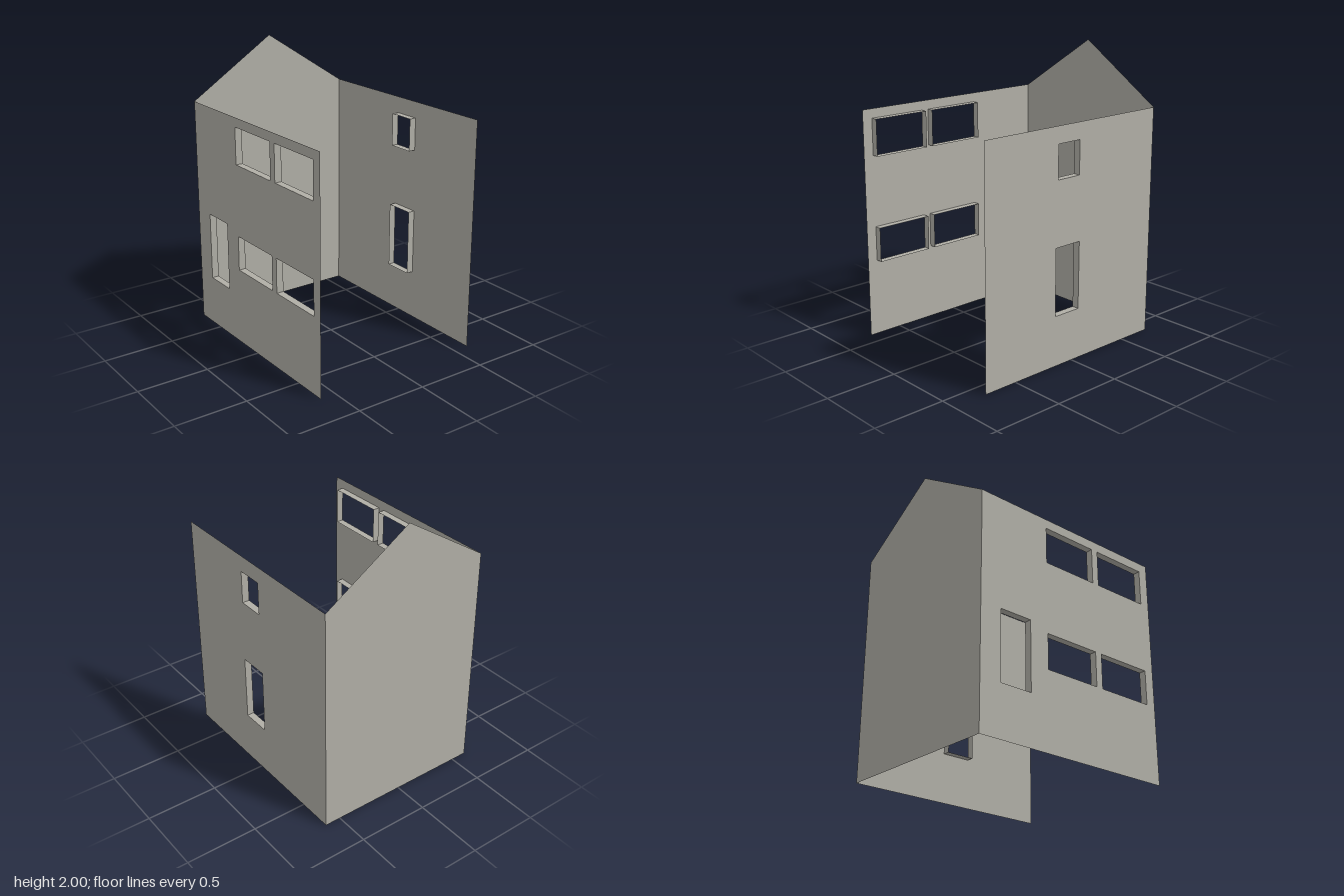
import * as THREE from 'three';

const HALF_W = 0.75, HALF_D = 0.613, EAVES = 1.605, RIDGE = 2, REVEAL = 0.05;

// Openings as [x0, x1, y0, y1]
const FRONT = [
  ['frontDoor', -0.592, -0.355, 0.35, 0.83],
  ['lowerMiddleWindow', -0.21, 0.207, 0.54, 0.783],
  ['lowerLeftWindow', 0.26, 0.677, 0.54, 0.783],
  ['upperMiddleWindow', -0.21, 0.207, 1.285, 1.54],
  ['upperLeftWindow', 0.26, 0.677, 1.285, 1.54],
];
const BACK = [
  ['backDoor', -0.057, 0.153, 0.35, 0.815],
  ['backWindow', -0.046, 0.142, 1.26, 1.49],
];

export function createModel() {
  const group = new THREE.Group();
  const plaster = new THREE.MeshStandardMaterial({ color: 0xb0aea6, side: THREE.DoubleSide });

  const add = (parent, name, geometry) => {
    const mesh = new THREE.Mesh(geometry, plaster);
    mesh.name = name;
    parent.add(mesh);
    return mesh;
  };

  // Four-sided open sleeve lining an opening
  const sleeve = (w, h) => {
    const g = new THREE.CylinderGeometry(Math.SQRT1_2, Math.SQRT1_2, 1, 4, 1, true, Math.PI / 4);
    g.rotateX(Math.PI / 2).scale(w, h, REVEAL);
    const flat = g.toNonIndexed();
    flat.computeVertexNormals();
    return flat;
  };

  // Thin wall with openings, each lined towards the inside of the house
  const buildWall = (name, openings, side) => {
    const wall = new THREE.Group();
    wall.name = name;
    const shape = new THREE.Shape([
      [-HALF_W, 0], [HALF_W, 0], [HALF_W, EAVES], [-HALF_W, EAVES],
    ].map(p => new THREE.Vector2(...p)));
    for (const [part, x0, x1, y0, y1] of openings) {
      shape.holes.push(new THREE.Path([
        [x0, y0], [x0, y1], [x1, y1], [x1, y0],
      ].map(p => new THREE.Vector2(...p))));
      add(wall, part + 'Reveal', sleeve(x1 - x0, y1 - y0))
        .position.set((x0 + x1) / 2, (y0 + y1) / 2, side * (HALF_D - REVEAL / 2));
    }
    const panel = add(wall, name + 'Panel', new THREE.ShapeGeometry(shape));
    // Mirrored by winding so the outer face points away from the house
    if (side < 0) {
      const index = panel.geometry.index.array;
      for (let i = 0; i < index.length; i += 3) [index[i], index[i + 1]] = [index[i + 1], index[i]];
      panel.geometry.computeVertexNormals();
    }
    panel.position.z = side * HALF_D;
    group.add(wall);
  };

  buildWall('frontWall', FRONT, 1);
  buildWall('backWall', BACK, -1);

  // Gable wall closing the right end; the left end and roof stay open
  const gable = new THREE.Shape([
    [-HALF_D, 0], [HALF_D, 0], [HALF_D, EAVES], [0, RIDGE], [-HALF_D, EAVES],
  ].map(p => new THREE.Vector2(...p)));
  const gableWall = add(group, 'gableWall', new THREE.ShapeGeometry(gable));
  gableWall.rotation.y = -Math.PI / 2;
  gableWall.position.x = -HALF_W;

  return group;
}
